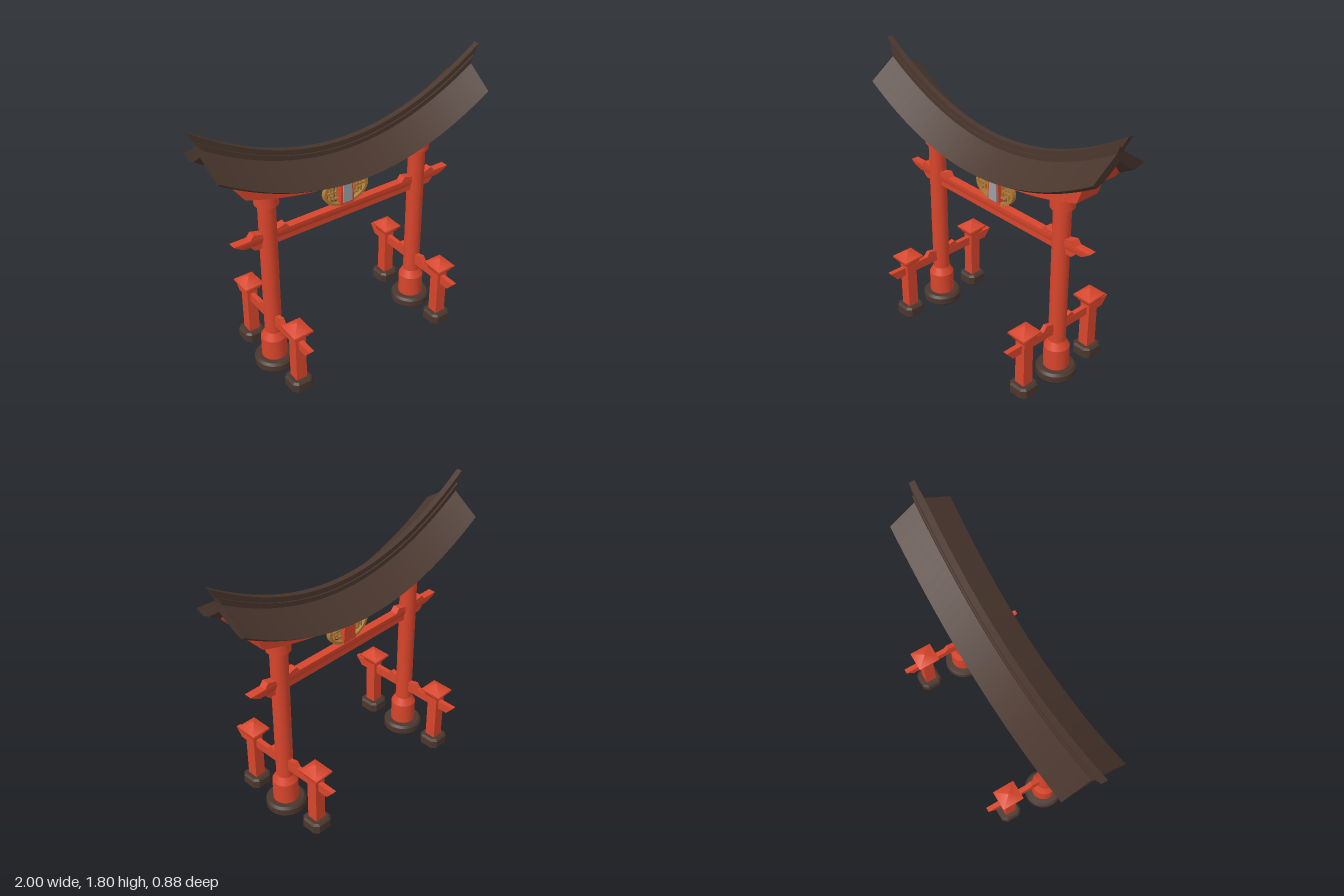
import * as THREE from 'three';
import { toCreasedNormals } from 'three/addons/utils/BufferGeometryUtils.js';

const material = (name, color) => {
  const m = new THREE.MeshStandardMaterial({ color });
  m.name = name;
  return m;
};

// Sweeps a [z, y, halfLength] section along x, bent upward by y += bend * x².
// Points run counter-clockwise with z to the right; varying halfLength slants the ends.
function sweep(section, bend = 0, steps = 1) {
  const pos = [], index = [], n = section.length;
  for (let j = 0; j <= steps; j++) {
    for (const [z, y, half] of section) {
      const x = (2 * j / steps - 1) * half;
      pos.push(x, y + bend * x * x, z);
    }
  }
  for (let j = 0; j < steps; j++) {
    for (let i = 0; i < n; i++) {
      const a = j * n + i, b = j * n + (i + 1) % n;
      index.push(a, a + n, b, b, a + n, b + n);
    }
  }
  const outline = section.map(([z, y]) => new THREE.Vector2(z, y));
  const end = steps * n;
  for (const [a, b, c] of THREE.ShapeUtils.triangulateShape(outline, [])) {
    index.push(a, b, c, end + a, end + c, end + b);
  }
  const g = new THREE.BufferGeometry();
  g.setAttribute('position', new THREE.Float32BufferAttribute(pos, 3));
  g.setIndex(index);
  return toCreasedNormals(g, 0.4);
}

function plate(shape, depth) {
  return new THREE.ExtrudeGeometry(shape, { depth, bevelEnabled: false, curveSegments: 24 })
    .translate(0, 0, -depth / 2);
}

const polygon = (pts) => new THREE.Shape(pts.map(([x, y]) => new THREE.Vector2(x, y)));

function lathe(pts, segments = 32) {
  const g = new THREE.LatheGeometry(pts.map(([r, y]) => new THREE.Vector2(r, y)), segments);
  return toCreasedNormals(g, 0.5);
}

// Four-sided frustum with separate x and z half-widths
function frustum(topScale, halfX, halfZ, height, y) {
  return new THREE.CylinderGeometry(topScale * Math.SQRT2, Math.SQRT2, height, 4)
    .rotateY(Math.PI / 4).scale(halfX, 1, halfZ).translate(0, y + height / 2, 0).toNonIndexed();
}

export function createModel() {
  const red = material('vermilion', 0xd8452b);
  const brown = material('dark brown', 0x4a372e);
  const gold = material('old gold', 0xb07a36);
  const grey = material('plaque grey', 0x98a0a6);
  const model = new THREE.Group();
  model.name = 'shrineGate';

  const add = (parent, name, geometry, mat, x = 0, y = 0, z = 0) => {
    const mesh = new THREE.Mesh(geometry, mat);
    mesh.name = name;
    mesh.position.set(x, y, z);
    parent.add(mesh);
    return mesh;
  };

  // Curved gabled roof and its ridge
  const L = 0.94;
  add(model, 'roof', sweep([
    [0, 1.41, L], [-0.2, 1.267, L], [-0.157, 1.24, L - 0.01], [-0.11, 1.255, L - 0.01],
    [0, 1.335, L], [0.11, 1.255, L - 0.01], [0.157, 1.24, L - 0.01], [0.2, 1.267, L],
  ], 0.335, 32), brown);
  add(model, 'ridgeBase', sweep([
    [-0.028, 1.38, 0.94], [0.028, 1.38, 0.94], [0.028, 1.418, 0.955], [-0.028, 1.418, 0.955],
  ], 0.345, 32), brown);
  add(model, 'ridge', sweep([
    [-0.019, 1.405, 0.965], [0.019, 1.405, 0.965], [0.019, 1.45, 1], [-0.019, 1.45, 1],
  ], 0.35, 32), brown);

  // Two curved lintels under the roof
  add(model, 'upperLintel', sweep([
    [-0.105, 1.245, 0.83], [0.105, 1.245, 0.83], [0.105, 1.262, 0.86],
    [0, 1.336, 0.91], [-0.105, 1.262, 0.86],
  ], 0.32, 32), red);
  add(model, 'lowerLintel', sweep([
    [-0.085, 1.2, 0.735], [0.085, 1.2, 0.735], [0.085, 1.28, 0.77], [-0.085, 1.28, 0.77],
  ], 0.24, 32), red);

  // Straight tie beam through both columns
  add(model, 'tieBeam', sweep([
    [-0.018, 0.95, 0.725], [0.018, 0.95, 0.725], [0.026, 0.975, 0.765],
    [0.026, 1, 0.8], [-0.026, 1, 0.8], [-0.026, 0.975, 0.765],
  ]), red);
  add(model, 'tieBeamSupport', sweep([
    [-0.017, 0.915, 0.655], [0.017, 0.915, 0.655], [0.017, 0.952, 0.69], [-0.017, 0.952, 0.69],
  ]), red);

  // Shared column and side-post geometry
  const wedge = polygon([[-0.135, 0], [0.135, 0], [0.11, 0.032], [0.05, 0.016],
    [-0.05, 0.016], [-0.11, 0.032]]);
  const column = lathe([[0, 0.03], [0.082, 0.03], [0.082, 0.215], [0.055, 0.262], [0.055, 1.25]]);
  const capital = lathe([[0.05, 1.205], [0.075, 1.205], [0.075, 1.3], [0, 1.3]]);
  const columnBase = lathe([[0.075, 0.05], [0.078, 0], [0.122, 0], [0.128, 0.01], [0.128, 0.052],
    [0.114, 0.068], [0.075, 0.07]]);
  const rail = sweep([
    [-0.016, 0.325, 0.39], [0.016, 0.325, 0.39], [0.016, 0.385, 0.44], [-0.016, 0.385, 0.44],
  ]).rotateY(Math.PI / 2);
  const c = 0.045, h = 0.073;
  const octagon = polygon([[-h, -c], [-c, -h], [c, -h], [h, -c], [h, c], [c, h], [-c, h], [-h, c]]);
  const postBase = new THREE.ExtrudeGeometry(octagon, {
    depth: 0.055, bevelThickness: 0.013, bevelSize: 0.013, bevelOffset: -0.013, bevelSegments: 1,
  }).rotateX(-Math.PI / 2);

  for (const side of [-1, 1]) {
    const pier = new THREE.Group();
    pier.name = side > 0 ? 'leftPier' : 'rightPier';
    pier.position.x = side * 0.556;
    model.add(pier);
    add(pier, 'column', column, red);
    add(pier, 'capital', capital, red);
    add(pier, 'columnBase', columnBase, brown);
    add(pier, 'tieBeamWedge', plate(wedge, 0.05), red, 0, 0.999);
    add(pier, 'sideRail', rail, red);
    add(pier, 'sideRailWedge', plate(wedge, 0.03).rotateY(Math.PI / 2), red, 0, 0.384);

    // Short capped posts in front of and behind each column
    for (const z of [-0.283, 0.283]) {
      const post = new THREE.Group();
      post.name = z > 0 ? 'frontPost' : 'backPost';
      post.position.z = z;
      pier.add(post);
      add(post, 'postShaft', new THREE.BoxGeometry(0.074, 0.4, 0.074), red, 0, 0.23);
      add(post, 'postBase', postBase, brown, 0, 0.0);
      add(post, 'postCollar', frustum(1.2, 0.048, 0.052, 0.04, 0.415), red);
      add(post, 'postCapEdge', frustum(1, 0.067, 0.075, 0.012, 0.447), red);
      add(post, 'postCap', frustum(0.05, 0.067, 0.075, 0.042, 0.459), red);
    }
  }

  // Central tablet with its inset panel
  const tablet = new THREE.Group();
  tablet.name = 'tablet';
  model.add(tablet);
  add(tablet, 'tabletBoard', plate(polygon([[-0.052, 0.995], [0.052, 0.995],
    [0.037, 1.22], [-0.037, 1.22]]), 0.044), red);
  add(tablet, 'tabletPanel', plate(polygon([[-0.034, 1.018], [0.034, 1.018],
    [0.03, 1.16], [0.02, 1.175], [-0.02, 1.175], [-0.03, 1.16]]), 0.008), grey, 0, 0, 0.025);

  // Gold crescents with fretwork on both sides of the tablet
  const crescent = new THREE.Shape();
  crescent.absellipse(0, 0, 0.163, 0.107, -1.3, 1.3, false);
  crescent.absellipse(0, 0, 0.143, 0.09, 1.25, -1.25, true);
  const bars = [ // x, y, width, height
    [0.105, 0, 0.09, 0.011], [0.09, 0, 0.011, 0.1],
    [0.074, 0.048, 0.042, 0.011], [0.074, -0.048, 0.042, 0.011],
    [0.115, 0.03, 0.011, 0.04], [0.115, -0.03, 0.011, 0.04],
    [0.103, 0.025, 0.03, 0.01], [0.103, -0.025, 0.03, 0.01],
    [0.065, 0.022, 0.01, 0.03], [0.065, -0.022, 0.01, 0.03],
  ];
  for (const side of [-1, 1]) {
    const fret = new THREE.Group();
    fret.name = side > 0 ? 'leftFretwork' : 'rightFretwork';
    fret.position.y = 1.1;
    fret.rotation.y = side > 0 ? 0 : Math.PI;
    model.add(fret);
    add(fret, 'crescentFrame', plate(crescent, 0.03), gold);
    for (const [x, y, w, t] of bars) {
      add(fret, 'fretBar', new THREE.BoxGeometry(w, t, 0.018), gold, x, y);
    }
  }

  // Extruded bevels reach below their origin, so lift the post bases onto the ground
  model.traverse((o) => {
    if (o.name === 'postBase') o.position.y = 0.013;
    if (o.geometry && !o.geometry.attributes.normal) o.geometry.computeVertexNormals();
  });
  return model;
}
